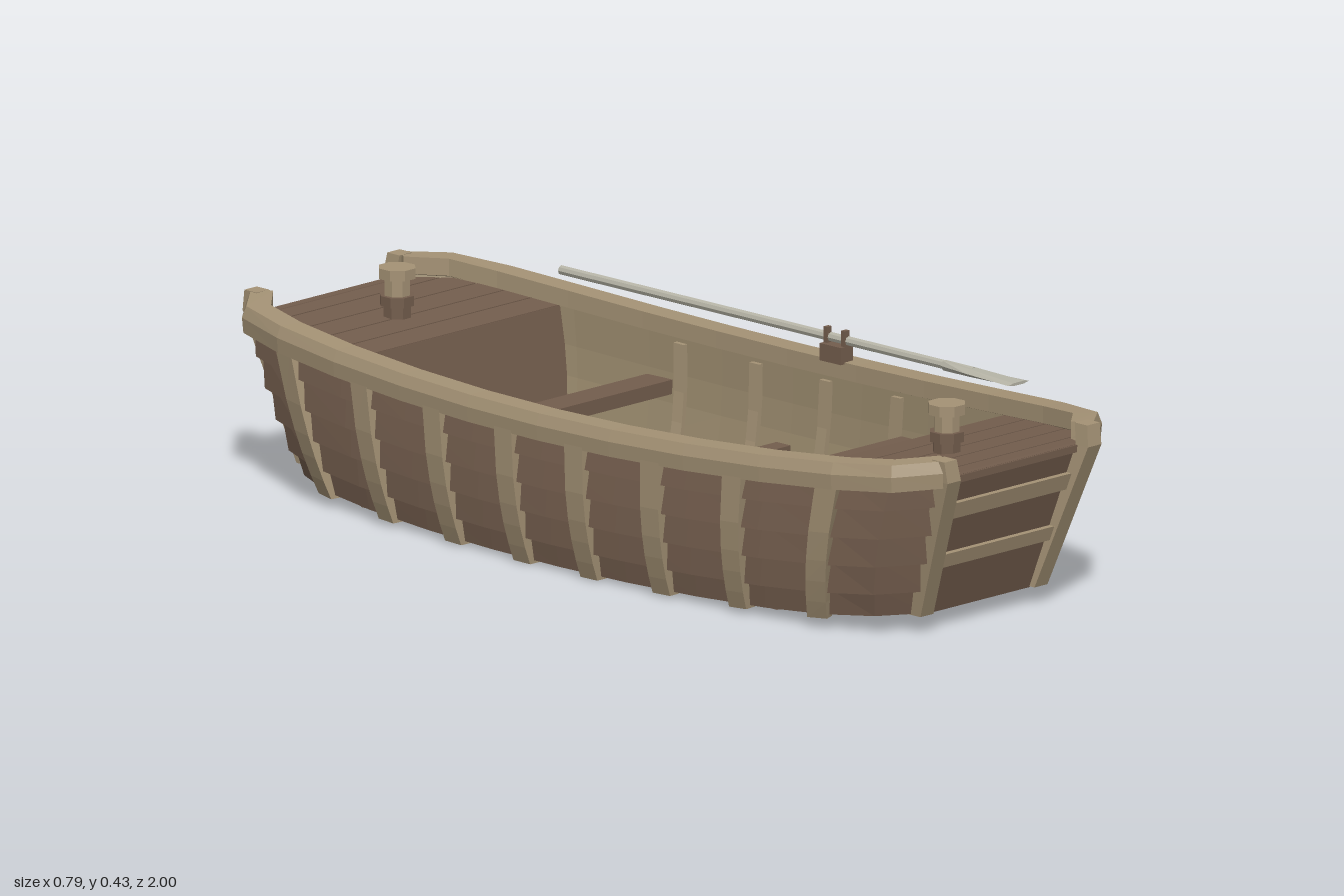
import * as THREE from 'three';

const mat = (name, color, side = THREE.FrontSide) => {
  const m = new THREE.MeshStandardMaterial({ color, flatShading: true, side });
  m.name = name;
  return m;
};

// Hull half-outline from amidships to the end: x and z at the rail, x and z at the bottom
const STATIONS = [
  [0.365, 0, 0.315, 0], [0.362, 0.2, 0.313, 0.19], [0.353, 0.4, 0.305, 0.38], [0.338, 0.6, 0.29, 0.56],
  [0.315, 0.78, 0.27, 0.7], [0.283, 0.903, 0.23, 0.8], [0.2, 0.97, 0.15, 0.87],
];
const END = 0.97;
const railY = z => 0.315 + 0.048 * (z / END) ** 2;
const keelY = z => 0.008 + 0.032 * (z / END) ** 2;

// Point on the hull at rail position zt and height v (0 bottom, 1 rail)
function skin(zt, v) {
  const a = Math.min(Math.abs(zt), END);
  let i = 0;
  while (i < STATIONS.length - 2 && STATIONS[i + 1][1] < a) i++;
  const A = STATIONS[i], B = STATIONS[i + 1];
  const f = (a - A[1]) / (B[1] - A[1]);
  const [xt, z1, xb, z0] = A.map((n, k) => n + (B[k] - n) * f);
  const ease = 1 - Math.max(1 - v, 0) ** 2.5;
  return [xb + (xt - xb) * ease, keelY(a) + (railY(a) - keelY(a)) * v, Math.sign(zt) * (z0 + (z1 - z0) * v)];
}

// The same point moved out from the hull by "out" and up by "up"
function hull(zt, v, out = 0, up = 0) {
  const p = skin(zt, v);
  const a = skin(Math.max(zt - 0.01, -END), v), b = skin(Math.min(zt + 0.01, END), v);
  const dx = b[0] - a[0], dz = b[2] - a[2], len = Math.hypot(dx, dz);
  return [p[0] + out * dz / len, p[1] + up, p[2] - out * dx / len];
}

// Faceted skin through a list of rings; closed rings also get end caps
function loft(rings, closed = true) {
  const pos = [];
  const tri = (a, b, c) => pos.push(...a, ...b, ...c);
  const n = rings[0].length;
  for (let r = 0; r < rings.length - 1; r++) {
    for (let j = 0; j < (closed ? n : n - 1); j++) {
      const k = (j + 1) % n;
      tri(rings[r][j], rings[r][k], rings[r + 1][k]);
      tri(rings[r][j], rings[r + 1][k], rings[r + 1][j]);
    }
  }
  if (closed) {
    const s = rings[0], e = rings[rings.length - 1];
    for (let j = 1; j < n - 1; j++) { tri(s[0], s[j + 1], s[j]); tri(e[0], e[j], e[j + 1]); }
  }
  const g = new THREE.BufferGeometry();
  g.setAttribute('position', new THREE.Float32BufferAttribute(pos, 3));
  g.computeVertexNormals();
  return g;
}

// Mirrored rings, reversed so that the faces still point outwards
const mirror = (rings, axis) =>
  rings.map(ring => ring.map(p => p.map((n, k) => (k === axis ? -n : n)))).reverse();

export function createModel() {
  const boat = new THREE.Group();
  boat.name = 'rowingBoat';
  const wood = mat('brownWood', 0x735d4d);
  const trim = mat('tanWood', 0xa49275);
  const lining = mat('liningWood', 0x9a8a6d, THREE.DoubleSide);
  const oarWood = mat('greyWood', 0xb6b4a6);

  const add = (name, geometry, material, x = 0, y = 0, z = 0) => {
    const m = new THREE.Mesh(geometry, material);
    m.name = name;
    m.position.set(x, y, z);
    boat.add(m);
  };
  const box = (name, w, h, d, material, x, y, z) => add(name, new THREE.BoxGeometry(w, h, d), material, x, y, z);
  const bothSides = (name, rings, material, closed = true) => {
    add(name + 'Left', loft(rings, closed), material);
    add(name + 'Right', loft(mirror(rings, 0), closed), material);
  };

  const path = [...STATIONS.slice(1).map(s => -s[1]).reverse(), ...STATIONS.map(s => s[1])];

  // Lapped side planks
  for (let i = 0; i < 5; i++) {
    const v0 = i / 5, v1 = (i + 1) / 5;
    bothSides('sidePlank' + (i + 1), path.map(z => [
      hull(z, v0, -0.008), hull(z, v0 - (i ? 0.035 : 0), i ? 0.02 : 0.014), hull(z, v1, 0.003), hull(z, v1, -0.008),
    ]), wood);
  }
  // Inner lining above the bare lower planks
  bothSides('lining', path.map(z => [0.25, 0.5, 0.7, 1].map(v => hull(z, v, -0.011))), lining, false);

  // Rail, cut square at the corner posts
  bothSides('rail', path.map(z => [
    hull(z, 1, -0.03, -0.01), hull(z, 1, 0.027, -0.03), hull(z, 1, 0.03, 0.002),
    hull(z, 1, 0.021, 0.026), hull(z, 1, -0.03, 0.026),
  ].map(([x, y, d]) => [Math.max(x, 0.19), y, d])), trim);

  // Ribs outside and inside
  const rib = (name, zt, half, outer, inner, levels) => bothSides(name, levels.map(v => [
    hull(zt + half, v, outer), hull(zt - half, v, outer), hull(zt - half, v, inner), hull(zt + half, v, inner),
  ]), trim);
  for (const z of [0.1, 0.31, 0.53, 0.77]) for (const s of [-1, 1]) {
    rib('outerRib', s * z, 0.025, 0.028, 0, [-0.02, 0.1, 0.25, 0.4, 0.6, 0.95]);
    if (z < 0.5) rib('innerRib', s * z, 0.014, -0.009, -0.022, [0.2, 0.4, 0.6, 0.92]);
  }

  // Bottom
  const plate = (z, w, y0, y1) => [[-w, y0, z], [w, y0, z], [w, y1, z], [-w, y1, z]];
  add('bottom', loft(path.map(t => {
    const [x, y, z] = hull(t, 0);
    return plate(z, x, y, y + 0.015);
  })), wood);

  // Runners under the bottom, following its curve
  for (const x of [-0.14, 0.14]) {
    const rings = [-0.74, -0.7, -0.5, -0.25, 0, 0.25, 0.5, 0.7, 0.74].map(z => {
      const tip = Math.abs(z) > 0.72;
      const y = tip ? 0.024 : 0.017 * (z / 0.8) ** 2;
      return plate(z, tip ? 0.015 : 0.021, y, 0.04).map(p => [p[0] + x, p[1], p[2]]);
    });
    add('runner', loft(rings), wood);
  }

  // End panels, crossbars and corner posts
  const faceZ = y => 0.87 + 0.306 * (y - 0.035);
  const edgeX = y => 0.15 + 0.13 * (y - 0.035);
  const slab = (y, x0, x1, front, back) => [[x1, y, front], [x1, y, back], [x0, y, back], [x0, y, front]];
  const bar = (y0, y1, out) => [y0, y1].map(y => slab(y, -edgeX(y), edgeX(y), faceZ(y) + out, faceZ(y) - 0.015));
  const post = [[0.037, 0.147, 0.185, 0.885], [0.345, 0.185, 0.224, 1], [0.389, 0.19, 0.226, 0.993]]
    .map(([y, x0, x1, z]) => slab(y, x0, x1, z, z - 0.035));
  // Each end also has a deck of cross planks and a bulkhead leaning back from the floor
  const deckY = z => 0.315 + 0.03 * (z - 0.55) / 0.42;
  const deckRing = (z, inset, drop) => plate(z, hull(z, 1)[0] - inset, deckY(z) - drop - 0.015, deckY(z) - drop);
  const seams = [0.63, 0.7, 0.768, 0.835, 0.905, 0.972];
  const levels = [0.1, 0.35, 0.6, 0.95].map(v => hull(0.63, v, -0.01));
  const wall = z => [...levels, ...levels.map(p => [-p[0], p[1]]).reverse()]
    .map(p => [p[0], p[1], z + (p[1] - 0.06) * 0.19]);
  for (const [end, flip] of [['front', r => r], ['rear', r => mirror(r, 2)]]) {
    add(end + 'Panel', loft(flip(bar(0.035, 0.345, 0))), wood);
    add(end + 'LowerBar', loft(flip(bar(0.14, 0.17, 0.014))), trim);
    add(end + 'UpperBar', loft(flip(bar(0.25, 0.285, 0.014))), trim);
    bothSides(end + 'Post', flip(post), trim);
    for (let i = 0; i < 5; i++) {
      const planks = [seams[i] + 0.002, seams[i + 1] - 0.002];
      add(end + 'DeckPlank', loft(flip(planks.map(z => deckRing(z, 0.012, 0)))), wood);
    }
    add(end + 'DeckUnderlay', loft(flip([0.64, 0.8, 0.955].map(z => deckRing(z, 0.025, 0.012)))), wood);
    add(end + 'Bulkhead', loft(flip([wall(0.582), wall(0.597)])), wood);
  }

  // Floor boards on a bearer that shows at both ends
  for (let i = 0; i < 9; i++) {
    box('floorBoard', 0.062, 0.016, 1.07, wood, (i - 4) * 0.067, i % 2 ? 0.056 : 0.061, -0.005);
  }
  box('floorBearer', 0.6, 0.03, 1.18, wood, 0, 0.035, 0);

  // Seats and the low middle beam
  box('frontSeat', 0.68, 0.03, 0.07, wood, 0, 0.2, 0.355);
  box('rearSeat', 0.68, 0.03, 0.07, wood, 0, 0.2, -0.365);
  box('middleBeam', 0.67, 0.04, 0.04, wood, 0, 0.12, -0.01);

  // Mooring posts
  for (const z of [-0.78, 0.78]) {
    const part = (name, r, y0, y1, m) =>
      add(name, new THREE.CylinderGeometry(r, r, y1 - y0, 8).rotateY(Math.PI / 8), m, 0, (y0 + y1) / 2, z);
    part('mooringFoot', 0.03, 0.32, 0.358, wood);
    part('mooringCollar', 0.037, 0.355, 0.376, wood);
    part('mooringNeck', 0.028, 0.374, 0.414, trim);
    part('mooringCap', 0.04, 0.412, 0.434, trim);
  }

  // Oar on its rowlock
  add('oarShaft', new THREE.CylinderGeometry(0.01, 0.01, 1.17, 8).rotateX(Math.PI / 2), oarWood, 0.345, 0.386, -0.065);
  const blade = [[0.44, 0.01, 0.01], [0.52, 0.02, 0.008], [0.65, 0.03, 0.003]]
    .map(([z, w, h]) => [[-w, 0, z], [-w / 2, -h, z], [w / 2, -h, z], [w, 0, z], [w / 2, h, z], [-w / 2, h, z]]);
  add('oarBlade', loft(blade), oarWood, 0.342, 0.386, 0);
  box('rowlockBlock', 0.036, 0.036, 0.06, wood, 0.34, 0.357, 0.135);
  for (const s of [-1, 1]) box('rowlockPin', 0.014, 0.036, 0.01, wood, 0.34, 0.39, 0.135 + s * 0.025);

  return boat;
}
